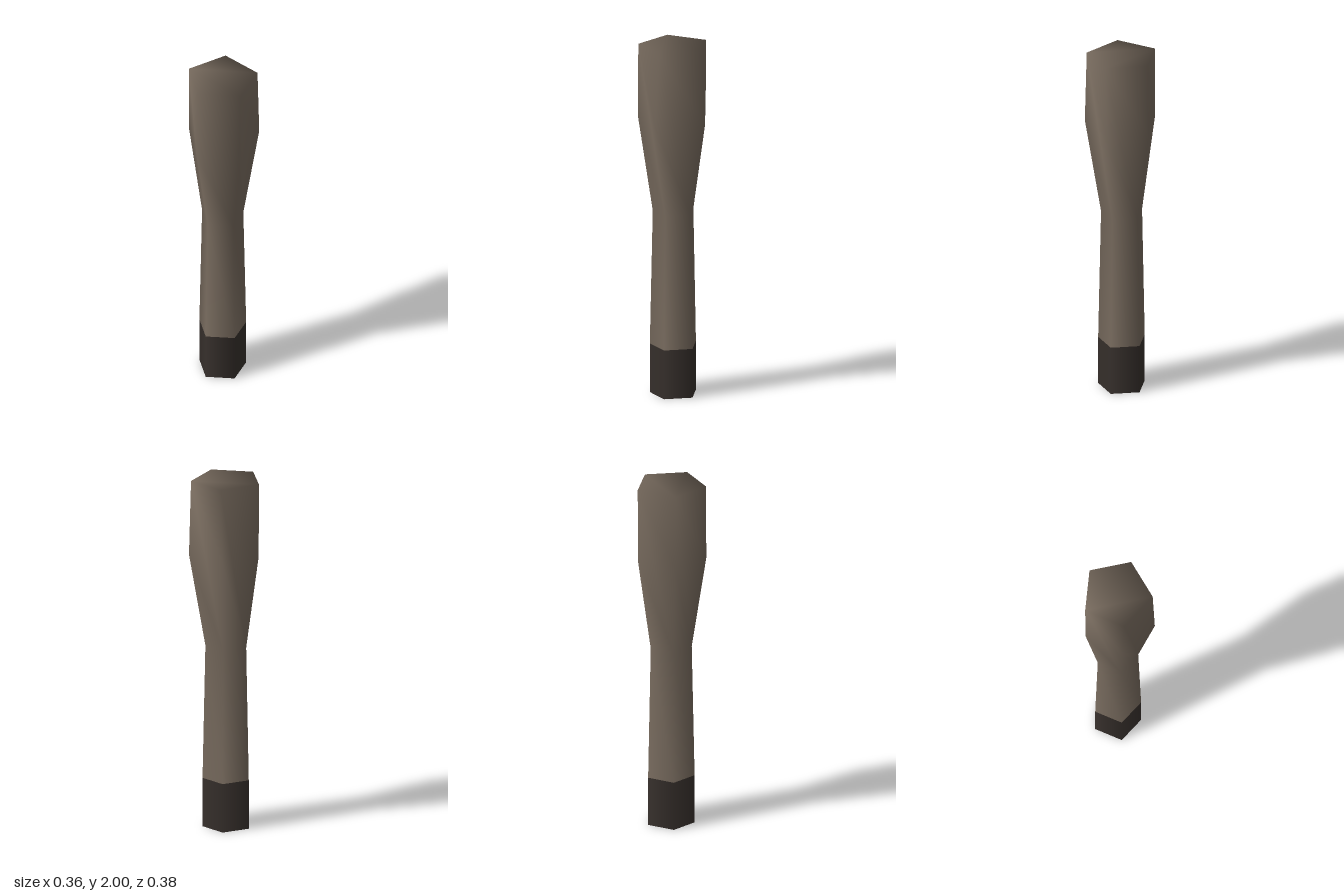
import * as THREE from 'three';

const SIDES = 5;
const CENTER_X = 0.0175;

// Regular five-sided ring with one corner pointing to -x, running towards the front
function ring(radius, y) {
  return Array.from({ length: SIDES }, (_, i) => {
    const a = Math.PI + (i * 2 * Math.PI) / SIDES;
    return [CENTER_X + radius * Math.cos(a), y, -radius * Math.sin(a)];
  });
}

function createShaft(material) {
  // Cross-sections from the grip up to the flat head
  const base = ring(0.136, 0.28);
  const waist = ring(0.12, 1.045);
  const shoulder = [[-0.18, 0], [-0.055, 0.19], [0.18, 0.14], [0.18, -0.14], [-0.055, -0.19]]
    .map(([x, z]) => [x, 1.58, z]);
  const top = ring(0.2, 2);
  const positions = [base, waist, shoulder, top].flat(2);

  const at = (level, i) => level * SIDES + (i % SIDES);
  const index = [];
  for (let i = 0; i < SIDES; i++) {
    const [b0, w0, s0, t0] = [0, 1, 2, 3].map((l) => at(l, i));
    const [b1, w1, s1, t1] = [0, 1, 2, 3].map((l) => at(l, i + 1));
    // Straight handle
    index.push(w0, b0, b1, w0, b1, w1);
    // Flared head: a long crease from each top corner to the next waist corner
    index.push(t0, s1, t1, t0, w1, s1, t0, s0, w1, s0, w0, w1);
  }
  // Flat top
  for (let i = 1; i < SIDES - 1; i++) index.push(at(3, 0), at(3, i), at(3, i + 1));

  const geometry = new THREE.BufferGeometry();
  geometry.setAttribute('position', new THREE.Float32BufferAttribute(positions, 3));
  geometry.setIndex(index);
  geometry.computeVertexNormals();
  const mesh = new THREE.Mesh(geometry, material);
  mesh.name = 'shaft';
  return mesh;
}

export function createModel() {
  const group = new THREE.Group();
  group.name = 'club';

  const wood = new THREE.MeshStandardMaterial({ color: 0x7a6d60 });
  const dark = new THREE.MeshStandardMaterial({ color: 0x38312d });

  group.add(createShaft(wood));

  // Dark end of the handle
  const grip = new THREE.Mesh(
    new THREE.CylinderGeometry(0.136, 0.136, 0.28, SIDES, 1, false, -Math.PI / 2), dark);
  grip.position.set(CENTER_X, 0.14, 0);
  grip.name = 'grip';
  group.add(grip);

  return group;
}
